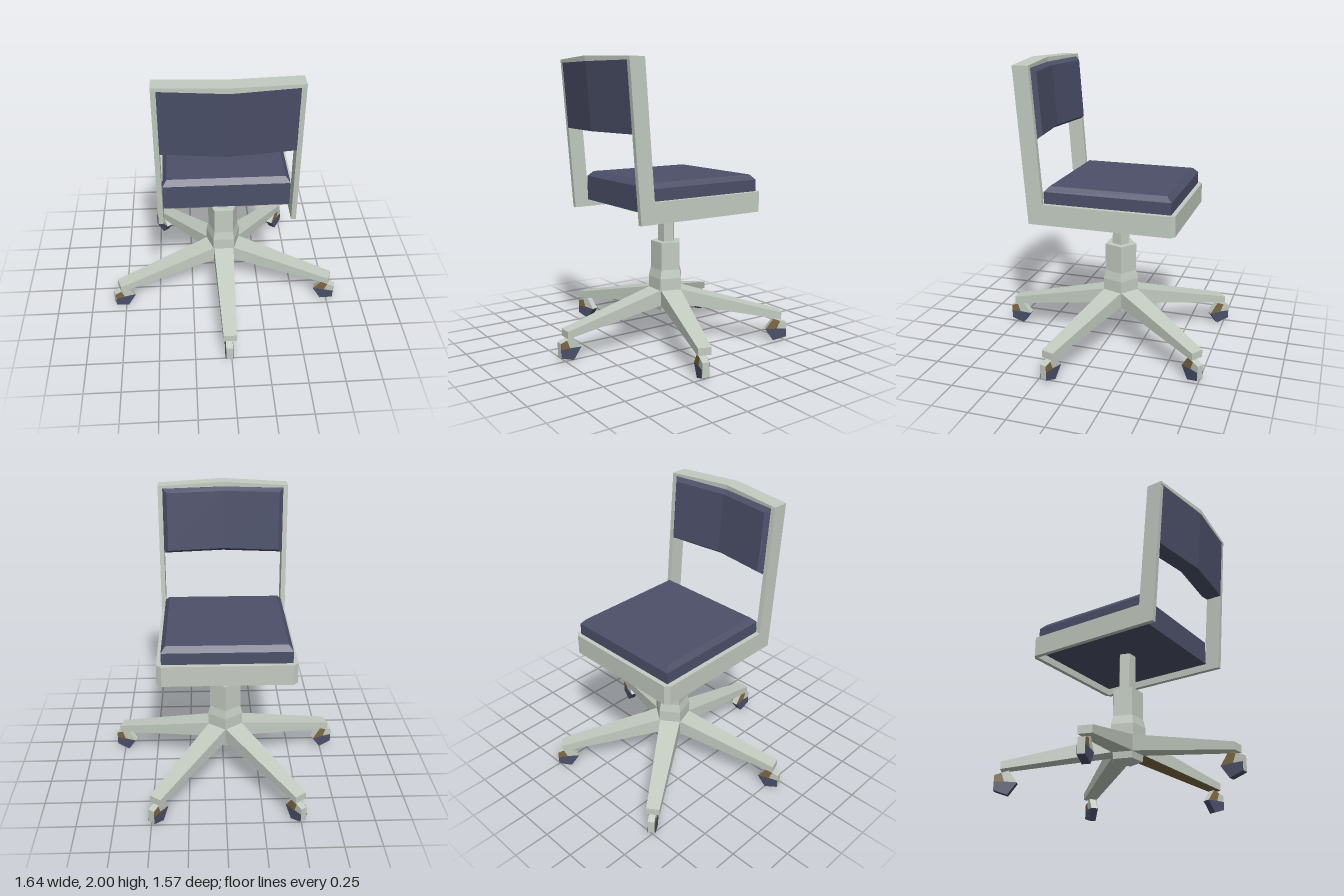
import * as THREE from 'three';

const mat = (name, color) => {
  const m = new THREE.MeshStandardMaterial({ color });
  m.name = name;
  return m;
};

export function createModel() {
  const frameGrey = mat('frame grey', 0xc3cbc1);
  const fabricNavy = mat('fabric navy', 0x4c5069);
  const casterBrown = mat('caster brown', 0x7f6842);
  const CX = -0.012, CZ = -0.072; // column axis

  const chair = new THREE.Group();
  chair.name = 'swivelChair';

  const add = (parent, name, geometry, material) => {
    const mesh = new THREE.Mesh(geometry, material);
    mesh.name = name;
    parent.add(mesh);
    return mesh;
  };

  // Flat-faced copy of a geometry after moving each vertex by a rule
  const shaped = (geometry, rule) => {
    const p = geometry.attributes.position;
    const v = new THREE.Vector3();
    for (let i = 0; i < p.count; i++) {
      v.fromBufferAttribute(p, i);
      rule(v);
      p.setXYZ(i, v.x, v.y, v.z);
    }
    const flat = geometry.toNonIndexed();
    flat.computeVertexNormals();
    return flat;
  };

  // Slab with a side profile of [z, y] points, from x0 to x1
  const slab = (points, x0, x1) => {
    const shape = new THREE.Shape(points.map(([z, y]) => new THREE.Vector2(z, y)));
    return new THREE.ExtrudeGeometry(shape, { depth: x1 - x0, bevelEnabled: false })
      .rotateY(-Math.PI / 2).translate(x1, 0, 0);
  };

  // Side frames: seat rail and leaning upright in one piece
  const sideProfile = [[0.43, 0.95], [-0.53, 0.95], [-0.53, 1.09], [0.33, 1.09], [0.4, 1.98], [0.51, 1.98]];
  add(chair, 'rightSideFrame', slab(sideProfile, -0.462, -0.43), frameGrey);
  add(chair, 'leftSideFrame', slab(sideProfile, 0.406, 0.438), frameGrey);

  // Seat end rail with chamfered corners
  const railShape = new THREE.Shape([[-0.462, -0.53], [-0.43, -0.556], [0.406, -0.556], [0.438, -0.53],
    [0.406, -0.526], [-0.43, -0.526]].map(([x, z]) => new THREE.Vector2(x, z)));
  add(chair, 'seatEndRail', new THREE.ExtrudeGeometry(railShape, { depth: 0.14, bevelEnabled: false })
    .rotateX(Math.PI / 2).translate(0, 1.09, 0), frameGrey);

  // Top rail, bowed backwards and slightly peaked in the middle
  add(chair, 'topRail', shaped(new THREE.BoxGeometry(0.9, 0.022, 0.11, 2, 1, 1), (v) => {
    const bow = 1 - Math.abs(v.x) / 0.45;
    v.set(v.x + CX, v.y + 1.974 + 0.014 * bow * (v.y > 0 ? 1 : 0), v.z + 0.456 + 0.054 * bow);
  }), frameGrey);

  // Seat cushion with bevelled top
  add(chair, 'seatCushion', shaped(new THREE.BoxGeometry(0.836, 0.205, 0.856, 1, 2, 1), (v) => {
    if (v.y > 0.1) { v.x *= 0.93; v.z *= 0.92; v.y = 1.205; }
    else v.y = v.y < -0.1 ? 1.0 : 1.17;
    v.x += CX;
    v.z -= 0.098;
  }), fabricNavy);

  // Back cushion: bowed, leaning, bevelled on the sitting side
  add(chair, 'backCushion', shaped(new THREE.BoxGeometry(0.836, 0.45, 0.14, 2, 1, 2), (v) => {
    const bow = 1 - Math.abs(v.x) / 0.418;
    if (v.z < -0.05) { v.x *= 0.93; v.y *= 0.9; }
    else if (v.z < 0.05) v.z = -0.04;
    v.z += 0.424 + 0.079 * v.y + 0.05 * bow;
    v.y += 1.742;
    v.x += CX;
  }), fabricNavy);

  // Five-sided column and hub, flat side facing the front
  const base = new THREE.Group();
  base.name = 'base';
  base.position.set(CX, 0, CZ);
  chair.add(base);
  const prism = (name, rTop, rBottom, yTop, yBottom) => add(base, name,
    shaped(new THREE.CylinderGeometry(rTop, rBottom, yTop - yBottom, 5)
      .rotateY(Math.PI).translate(0, (yTop + yBottom) / 2, 0), () => {}), frameGrey);
  prism('gasLift', 0.061, 0.061, 1.0, 0.725);
  prism('columnSleeve', 0.113, 0.113, 0.725, 0.53);
  prism('columnFlare', 0.113, 0.128, 0.53, 0.47);
  prism('hub', 0.128, 0.128, 0.47, 0.39);
  prism('hubBottom', 0.128, 0.108, 0.39, 0.235);

  // Caster outline: a pentagon with one corner pointing inwards
  const R = 0.083, cr = 0.79, cy = 0.085;
  const corner = (i) => {
    const a = (i * Math.PI * 2) / 5;
    return [cr - R * Math.cos(a), cy + R * Math.sin(a)];
  };
  const [v0, v1, v2, v3, v4] = [0, 1, 2, 3, 4].map(corner);
  const middle = [cr, cy + 0.005];
  const outerMid = [v2[0] - 0.002, cy + 0.005];
  const topMid = [(v1[0] + v2[0]) / 2, (v1[1] + v2[1]) / 2 - 0.002];
  const lower = [v0, middle, outerMid, [v3[0] - 0.002, v3[1] - 0.003], [v4[0], v4[1] - 0.003]];
  const outerQuarter = [middle, outerMid, [v2[0] - 0.002, v2[1] - 0.002], topMid];
  const innerQuarter = [middle, topMid, [v1[0], v1[1] - 0.002], [v0[0] + 0.003, v0[1]]];

  for (let i = 0; i < 5; i++) {
    const leg = new THREE.Group();
    leg.name = 'leg' + (i + 1);
    leg.rotation.y = (i * Math.PI * 2) / 5;
    base.add(leg);

    // Tapered arm sloping down to the tip; one has a brown underside
    const arm = shaped(new THREE.BoxGeometry(1, 1, 1), (v) => {
      const tip = v.z > 0, top = v.y > 0;
      v.set(v.x * (tip ? 0.09 : 0.145), tip ? (top ? 0.215 : 0.165) : (top ? 0.39 : 0.28), tip ? 0.817 : 0.09);
    });
    const under = i === 1 ? casterBrown : frameGrey;
    add(leg, 'arm', arm, [frameGrey, frameGrey, frameGrey, under, frameGrey, frameGrey]);

    // Caster: grey housing, navy lower wheel, brown side panels
    const x0 = -0.029, x1 = 0.017;
    add(leg, 'casterHousing', slab([v0, v1, v2, v3, v4], x0, x1), frameGrey);
    add(leg, 'casterWheel', slab(lower, x0 - 0.003, x1 + 0.003), fabricNavy);
    add(leg, 'casterPanelOuter', slab(outerQuarter, x1, x1 + 0.003), casterBrown);
    add(leg, 'casterPanelInner', slab(innerQuarter, x0 - 0.003, x0), casterBrown);
  }
  return chair;
}
